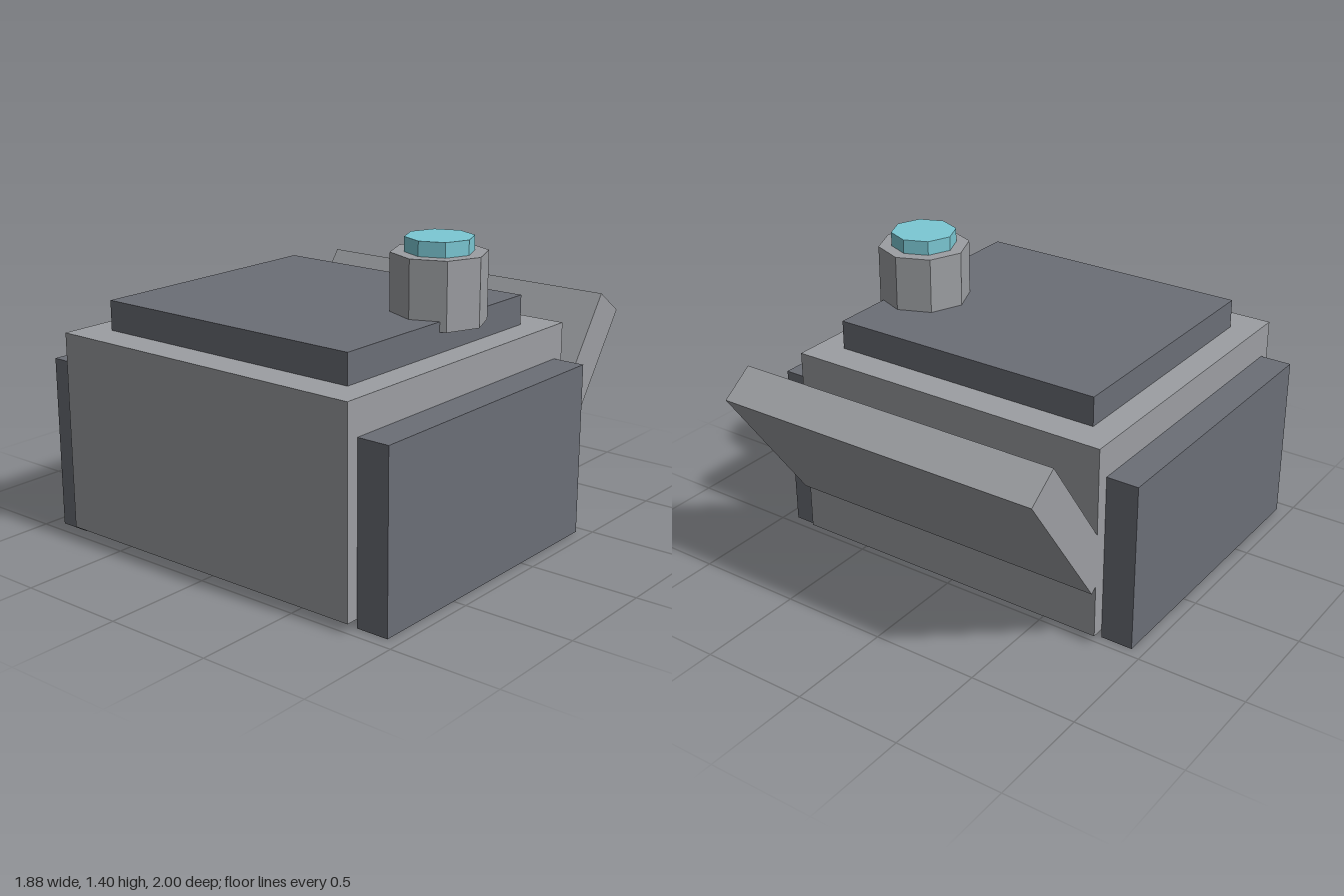
import * as THREE from 'three';

const mat = (color) => new THREE.MeshStandardMaterial({ color, flatShading: true });

export function createModel() {
  const group = new THREE.Group();
  const light = mat(0x9c9ea2), dark = mat(0x6b6e76), cyan = mat(0x7bc8d4);

  const add = (name, geometry, material, x, y, z) => {
    const mesh = new THREE.Mesh(geometry, material);
    mesh.name = name;
    mesh.position.set(x, y, z);
    group.add(mesh);
    return mesh;
  };
  const box = (w, h, d) => new THREE.BoxGeometry(w, h, d);

  // Main block and the raised plate on top
  add('body', box(1.58, 0.905, 1.515), light, 0, 0.4925, 0.2425);
  add('topPlate', box(1.33, 0.14, 1.21), dark, 0, 1.01, 0.24);

  // Side panels, mirrored
  for (const s of [1, -1]) {
    add(s > 0 ? 'leftPanel' : 'rightPanel', box(0.15, 0.79, 1.395), dark, s * 0.865, 0.395, 0.2425);
  }

  // Slanted flap leaning out of the back
  const flap = add('rearFlap', box(1.58, 0.785, 0.183), light, 0, 0.6425, -0.6975);
  flap.rotation.x = -Math.atan2(0.455, 0.64);

  // Octagonal turret with coloured cap
  add('turret', new THREE.CylinderGeometry(0.21, 0.21, 0.3, 8), light, 0.543, 1.185, 0.087);
  add('turretCap', new THREE.CylinderGeometry(0.15, 0.15, 0.075, 8), cyan, 0.543, 1.3625, 0.087);

  return group;
}
